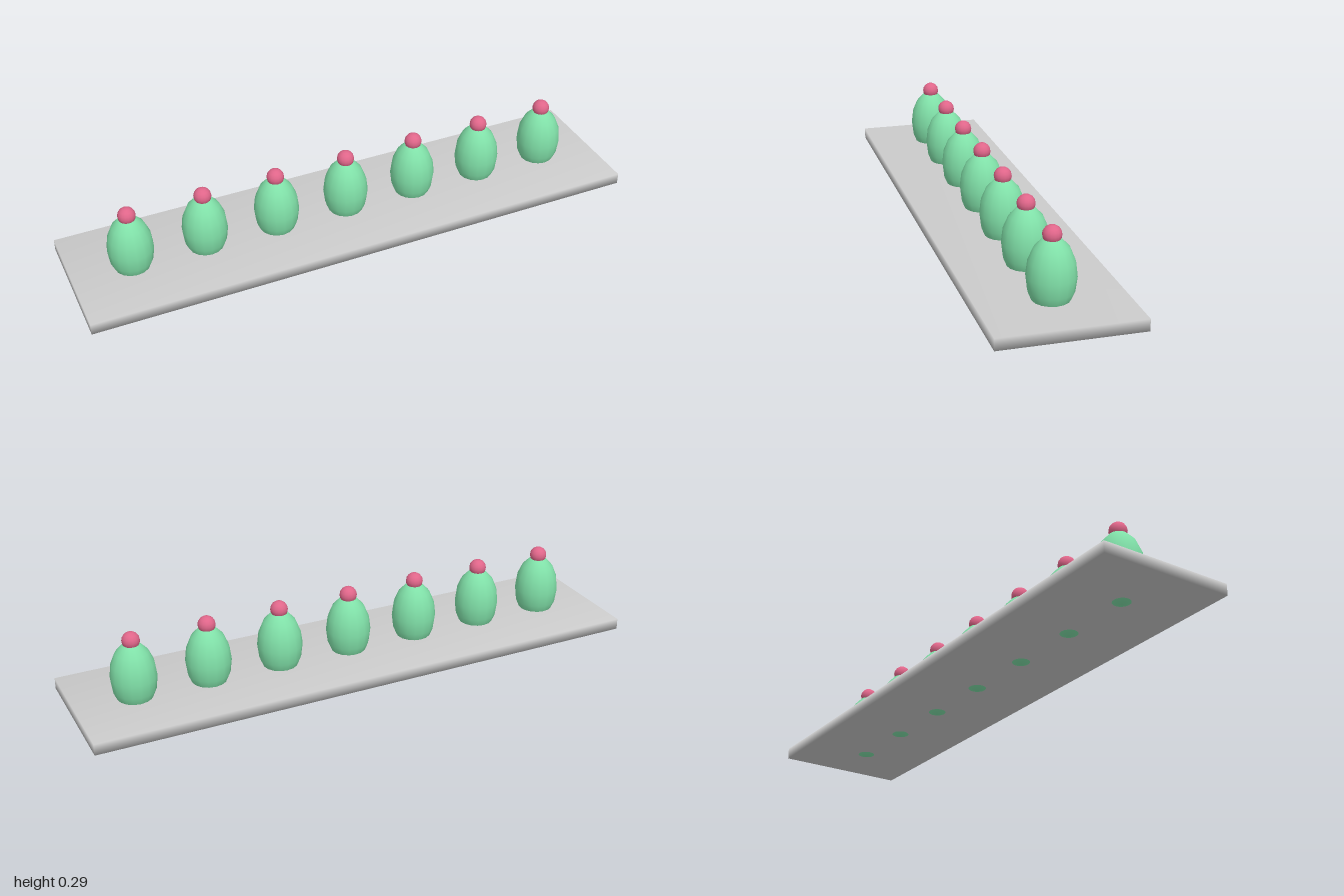
import * as THREE from 'three';
import { mergeVertices } from 'three/addons/utils/BufferGeometryUtils.js';

export function createModel() {
  const model = new THREE.Group();
  const grey = new THREE.MeshStandardMaterial({ color: 0xcccccc });
  const green = new THREE.MeshStandardMaterial({ color: 0x80e0a8 });
  const pink = new THREE.MeshStandardMaterial({ color: 0xe0668a });

  const add = (parent, name, geometry, material, x, y) => {
    const mesh = new THREE.Mesh(geometry, material);
    mesh.name = name;
    mesh.position.set(x, y, 0);
    parent.add(mesh);
  };

  // Thin base board, shaded smoothly across its shared corners
  let board = new THREE.BoxGeometry(2, 0.04, 0.474);
  board.deleteAttribute('normal');
  board.deleteAttribute('uv');
  board = mergeVertices(board);
  board.computeVertexNormals();
  add(model, 'baseBoard', board, grey, 0, 0.03);

  // Row of seven egg-shaped cacti, each topped with a round flower
  const body = new THREE.SphereGeometry(0.079, 16, 8).scale(1, 1.6, 1);
  const flower = new THREE.SphereGeometry(0.0305, 16, 8);
  for (let i = -3; i <= 3; i++) {
    const cactus = new THREE.Group();
    cactus.name = 'cactus';
    cactus.position.x = i * 0.263;
    add(cactus, 'cactusBody', body, green, 0, 0.1264);
    add(cactus, 'cactusFlower', flower, pink, 0, 0.259);
    model.add(cactus);
  }
  return model;
}
